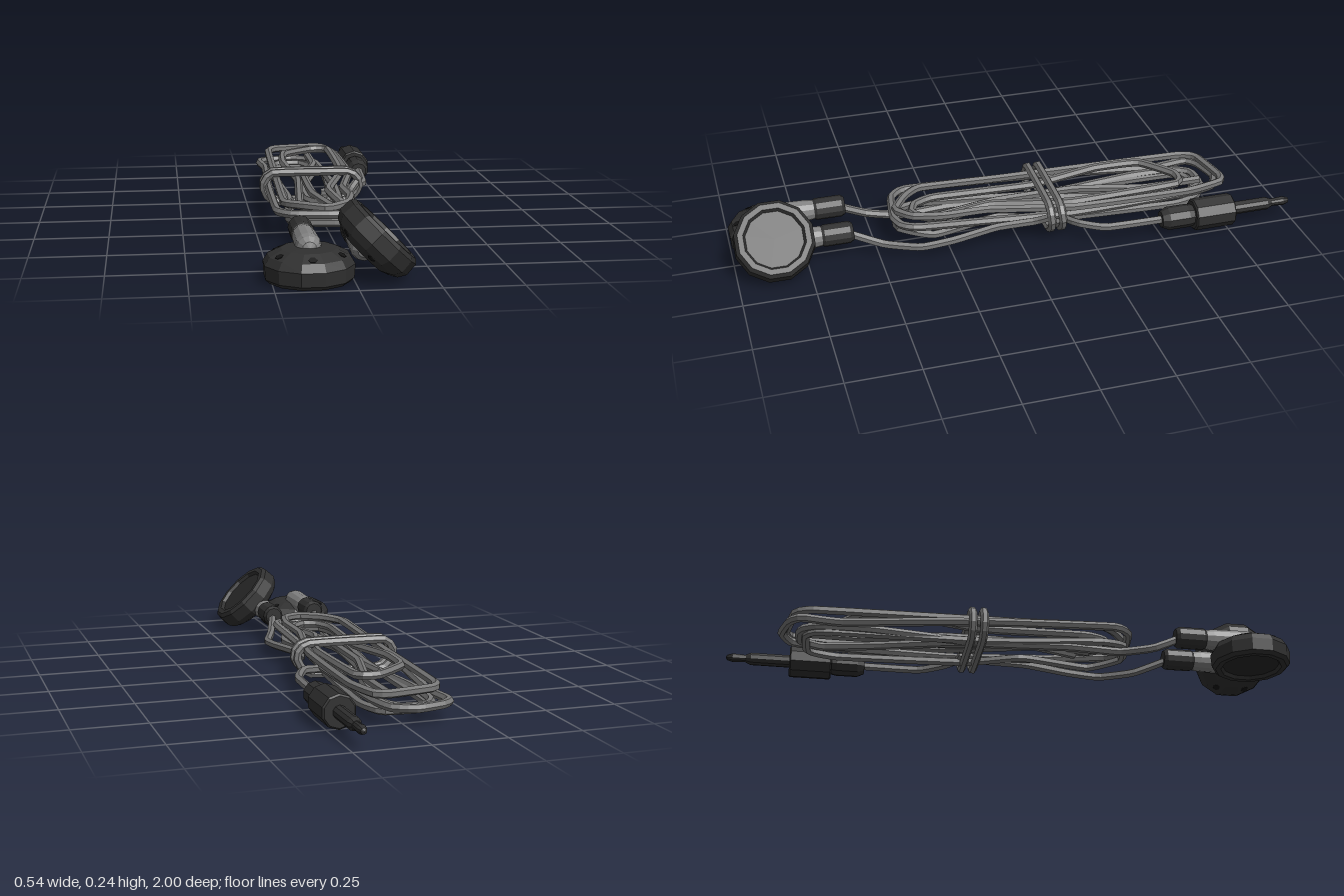
import * as THREE from 'three';

const mat = (name, color) => {
  const m = new THREE.MeshStandardMaterial({ color, flatShading: true });
  m.name = name;
  return m;
};

export function createModel() {
  const rubber = mat('dark rubber', 0x303030);
  const speaker = mat('speaker face', 0x282828);
  const hole = mat('vent black', 0x151515);
  const shell = mat('grey shell', 0x828282);
  const cord = mat('grey cord', 0x787878);

  const model = new THREE.Group();
  model.name = 'earphones';

  const add = (parent, name, geometry, material) => {
    const mesh = new THREE.Mesh(geometry, material);
    mesh.name = name;
    parent.add(mesh);
    return mesh;
  };
  // Turned part; profile pairs are [radius, height], bottom to top
  const turned = (profile, sides, start = 0) =>
    new THREE.LatheGeometry(profile.map(([r, y]) => new THREE.Vector2(r, y)), sides, start);
  // Cord swept through points [x, y, z]
  const cable = (name, points, closed = false) => {
    const curve = new THREE.CatmullRomCurve3(
      points.map((p) => new THREE.Vector3(...p)), closed, 'catmullrom', 0.2);
    const segments = Math.round(curve.getLength() / 0.025);
    return add(model, name, new THREE.TubeGeometry(curve, segments, 0.015, 6, closed), cord);
  };

  // Earbud disc with its speaker face down at y = 0 and vents around the back
  function earbudDisc(name) {
    const bud = new THREE.Group();
    bud.name = name;
    add(bud, 'budShell', turned([
      [0.1, 0.012], [0.108, 0], [0.127, 0], [0.139, 0.012], [0.142, 0.055],
      [0.127, 0.08], [0.086, 0.1], [0, 0.104],
    ], 12, -Math.PI / 12), rubber);
    add(bud, 'speakerFace', turned([[0, 0.012], [0.1, 0.012]], 12, -Math.PI / 12), speaker);
    for (let i = 0; i < 6; i++) {
      const vent = new THREE.CylinderGeometry(0.013, 0.013, 0.006, 6);
      vent.rotateZ(-0.46).translate(0.108, 0.086, 0).rotateY((i + 0.5) * Math.PI / 3);
      add(bud, 'vent', vent, hole);
    }
    model.add(bud);
    return bud;
  }

  // Round-ended stem and cord collar, lying along z
  function stem(x, y) {
    const group = new THREE.Group();
    group.name = 'stem';
    add(group, 'stemShell', turned([
      [0, 0.68], [0.034, 0.69], [0.038, 0.72], [0.041, 0.84], [0.036, 0.865],
      [0.022, 0.882], [0, 0.888],
    ], 12).rotateX(Math.PI / 2), shell);
    add(group, 'stemCollar', turned([
      [0, 0.583], [0.031, 0.583], [0.039, 0.595], [0.039, 0.685], [0.034, 0.695], [0, 0.695],
    ], 12).rotateX(Math.PI / 2), rubber);
    group.position.set(x, y, 0);
    model.add(group);
  }

  earbudDisc('rightEarbud').position.set(-0.135, 0, 0.86);
  stem(-0.135, 0.1);
  const leftBud = earbudDisc('leftEarbud');
  leftBud.position.set(0.1, 0.15, 0.86);
  leftBud.rotation.z = Math.PI * 0.75;
  stem(0.033, 0.09);

  // Plug: strain relief, grip, pin and tip
  const plug = new THREE.Group();
  plug.name = 'plug';
  const plugPart = (name, profile) =>
    add(plug, name, turned(profile, 10).rotateX(Math.PI / 2), rubber);
  plugPart('strainRelief', [[0, -0.63], [0.036, -0.63], [0.042, -0.6], [0.042, -0.525], [0.03, -0.5], [0, -0.5]]);
  plugPart('grip', [[0, -0.772], [0.052, -0.772], [0.058, -0.767], [0.058, -0.625], [0.052, -0.62], [0, -0.62]]);
  plugPart('pin', [[0, -0.93], [0.015, -0.928], [0.023, -0.91], [0.023, -0.77], [0, -0.77]]);
  plugPart('pinTip', [[0, -1], [0.01, -0.995], [0.016, -0.975], [0.013, -0.925], [0, -0.925]]);
  plug.position.set(0.213, 0.06, 0);
  model.add(plug);

  // Cords leading from the buds and plug into the bundle
  cable('rightBudCord', [
    [-0.135, 0.095, 0.6], [-0.138, 0.05, 0.5], [-0.118, 0.035, 0.38], [-0.13, 0.035, 0.2],
    [-0.1, 0.04, -0.1], [-0.13, 0.05, -0.5], [-0.125, 0.05, -0.68], [-0.09, 0.05, -0.74],
    [0, 0.05, -0.74], [0.04, 0.05, -0.66], [0.02, 0.06, -0.45], [-0.04, 0.06, -0.22],
    [-0.05, 0.07, 0.05], [0.03, 0.08, 0.25],
  ]);
  cable('leftBudCord', [
    [0.033, 0.085, 0.6], [0.075, 0.045, 0.48], [0.122, 0.04, 0.36], [0.125, 0.05, 0.24],
    [0.1, 0.06, 0.08], [0.115, 0.07, -0.06], [0.15, 0.1, -0.11],
  ]);
  cable('plugCord', [
    [0.213, 0.06, -0.51], [0.2, 0.055, -0.3], [0.155, 0.06, -0.21], [0.08, 0.05, -0.17],
    [0.02, 0.05, -0.16],
  ]);

  // Long coils of the bundle
  cable('outerCoil', [
    [-0.15, 0.06, -0.6], [-0.165, 0.06, -0.74], [-0.13, 0.06, -0.78], [-0.03, 0.06, -0.805],
    [0.04, 0.06, -0.77], [0.065, 0.06, -0.65], [0.08, 0.06, -0.2], [0.06, 0.07, 0.15],
    [0.085, 0.1, 0.36], [0.06, 0.1, 0.41], [0, 0.1, 0.43], [-0.14, 0.1, 0.41],
    [-0.185, 0.1, 0.35], [-0.18, 0.09, 0], [-0.17, 0.08, -0.25],
  ], true);
  cable('upperCoil', [
    [-0.13, 0.11, -0.7], [-0.1, 0.11, -0.76], [0.06, 0.11, -0.79], [0.1, 0.11, -0.77],
    [0.13, 0.11, -0.63], [0.13, 0.115, -0.2], [0.07, 0.12, 0.1], [0.075, 0.125, 0.26],
    [0.05, 0.125, 0.37], [-0.02, 0.12, 0.42], [-0.1, 0.12, 0.37], [-0.155, 0.115, 0.3],
    [-0.15, 0.11, 0], [-0.14, 0.11, -0.4],
  ], true);
  cable('innerCoil', [
    [-0.1, 0.125, -0.35], [-0.085, 0.13, -0.52], [0.03, 0.13, -0.62], [0.1, 0.13, -0.6],
    [0.1, 0.12, -0.2], [0.02, 0.11, 0.08], [0.045, 0.1, 0.28], [0.015, 0.1, 0.34],
    [-0.02, 0.1, 0.36], [-0.07, 0.1, 0.34], [-0.1, 0.1, 0.26], [-0.07, 0.11, -0.1],
  ], true);
  cable('lowerCoil', [
    [-0.12, 0.035, -0.66], [-0.08, 0.035, -0.72], [0.05, 0.035, -0.71], [0.085, 0.035, -0.6],
    [0.06, 0.035, -0.15], [0, 0.04, 0.05], [0.07, 0.05, 0.3], [0.02, 0.07, 0.42],
    [-0.1, 0.07, 0.4], [-0.14, 0.06, 0.3], [-0.11, 0.045, -0.1],
  ], true);
  cable('crossStrand', [
    [0.03, 0.09, -0.72], [0.03, 0.09, -0.5], [-0.03, 0.09, -0.25], [-0.03, 0.09, 0.05],
    [0.02, 0.09, 0.3],
  ]);

  // Two turns of cord tied around the middle
  for (const z of [-0.153, -0.113]) {
    cable('bundleWrap', [
      [-0.195, 0.1, z], [-0.16, 0.136, z], [0.12, 0.136, z + 0.005], [0.16, 0.1, z + 0.005],
      [0.155, 0.07, z], [0.11, 0.03, z], [-0.15, 0.03, z], [-0.19, 0.06, z],
    ], true);
  }

  return model;
}
